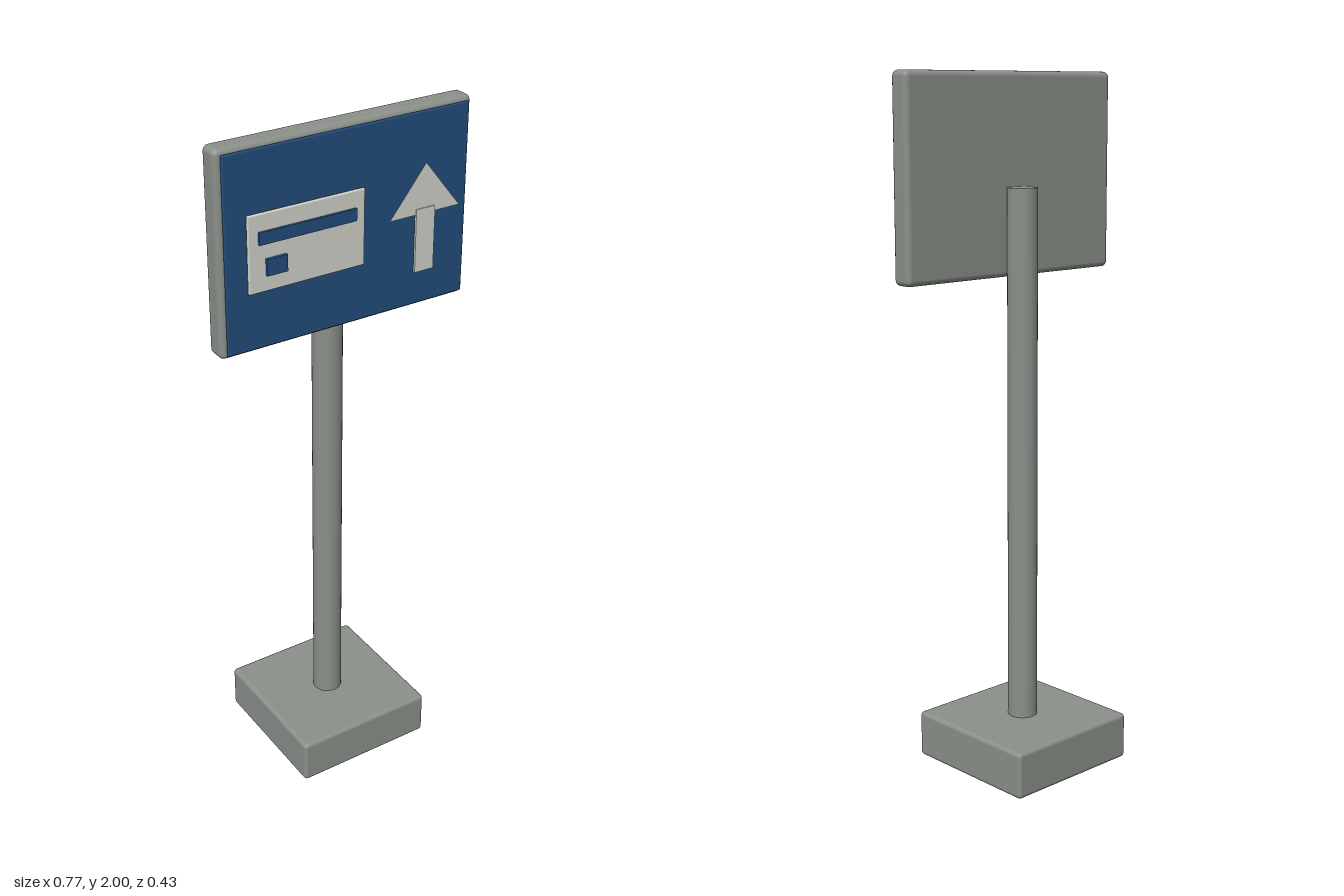
import * as THREE from 'three';
import { RoundedBoxGeometry } from 'three/addons/geometries/RoundedBoxGeometry.js';

const material = (name, color, extra = {}) => {
  const m = new THREE.MeshStandardMaterial({ color, ...extra });
  m.name = name;
  return m;
};

export function createModel() {
  const model = new THREE.Group();
  model.name = 'signpost';

  const grey = material('paintedGrey', 0x8b908a);
  const blue = material('signBlue', 0x234d7c);
  const white = material('symbolWhite', 0xd0d3ca, { side: THREE.DoubleSide });

  const add = (name, geometry, mat) => {
    const mesh = new THREE.Mesh(geometry, mat);
    mesh.name = name;
    model.add(mesh);
    return mesh;
  };

  // Box given by its limits on each axis, with optional rounded edges
  const block = (name, mat, [x0, x1], [y0, y1], [z0, z1], radius = 0) => {
    const size = [x1 - x0, y1 - y0, z1 - z0];
    const geometry = radius
      ? new RoundedBoxGeometry(...size, 3, radius)
      : new THREE.BoxGeometry(...size);
    add(name, geometry, mat).position.set((x0 + x1) / 2, (y0 + y1) / 2, (z0 + z1) / 2);
  };

  // Base and pole
  block('base', grey, [-0.217, 0.217], [0, 0.137], [-0.217, 0.217], 0.012);
  const pole = add('pole', new THREE.CylinderGeometry(0.043, 0.043, 1.585, 32), grey);
  pole.position.y = 0.8925;

  // Board with its coloured face
  block('board', grey, [-0.384, 0.384], [1.435, 2], [0.034, 0.098], 0.016);
  block('boardFace', blue, [-0.369, 0.369], [1.448, 1.988], [0.1, 0.109], 0.004);

  // Card symbol: plate, stripe and chip
  block('card', white, [-0.309, 0.038], [1.611, 1.824], [0.111, 0.121], 0.004);
  block('cardStripe', blue, [-0.28, 0.009], [1.743, 1.777], [0.1205, 0.128]);
  block('cardChip', blue, [-0.26, -0.2], [1.656, 1.702], [0.1205, 0.13]);

  // Arrow symbol: stem and flat triangular head
  block('arrowStem', white, [0.197, 0.257], [1.55, 1.73], [0.119, 0.126]);
  const head = new THREE.Shape([
    new THREE.Vector2(0.114, 1.714),
    new THREE.Vector2(0.338, 1.714),
    new THREE.Vector2(0.226, 1.854),
  ]);
  add('arrowHead', new THREE.ShapeGeometry(head), white).position.z = 0.123;

  return model;
}
